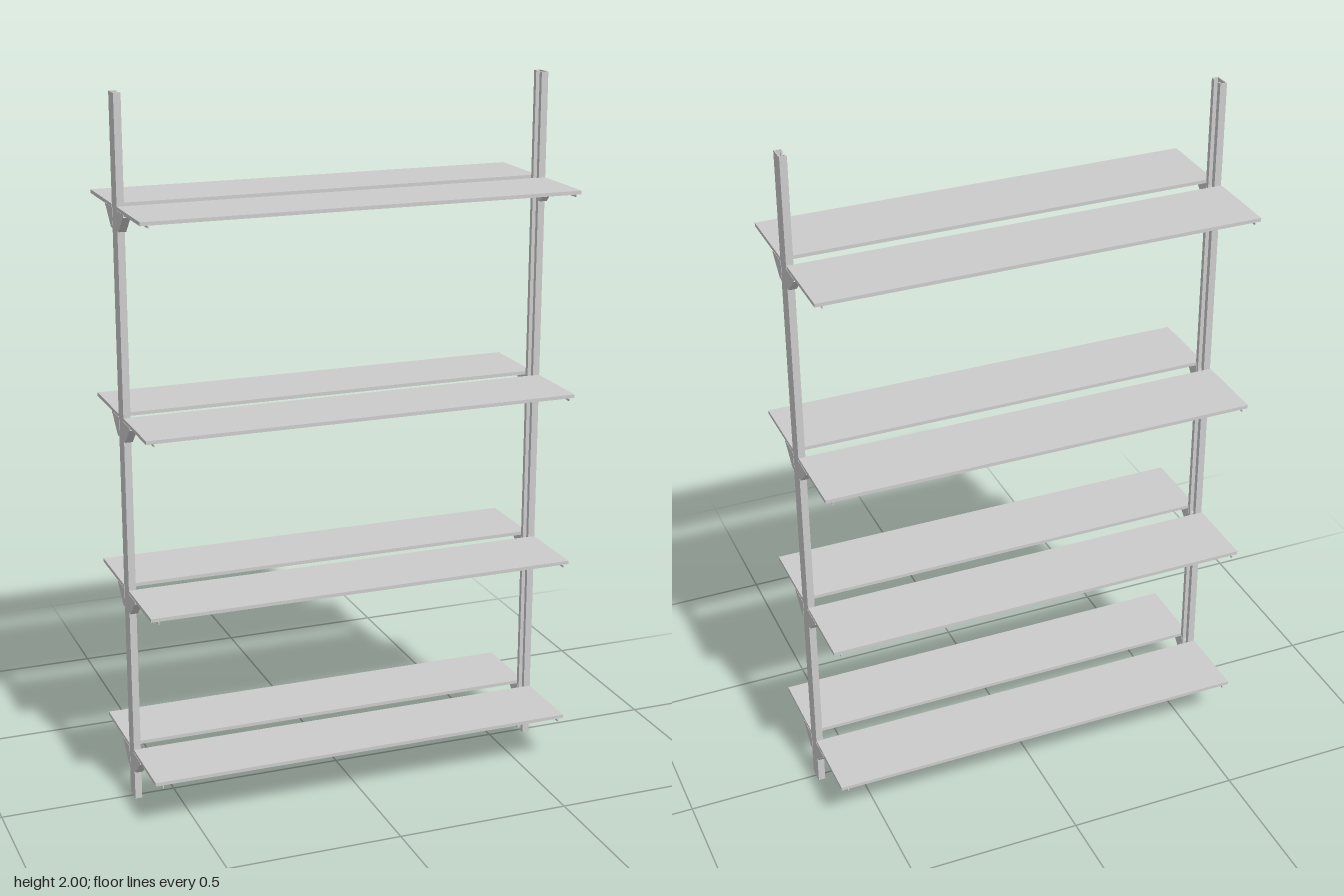
import * as THREE from 'three';

const material = new THREE.MeshStandardMaterial({ color: 0xcccccc, side: THREE.DoubleSide, flatShading: true });

function add(parent, name, geometry, x = 0, y = 0, z = 0) {
  const mesh = new THREE.Mesh(geometry, material);
  mesh.name = name;
  mesh.position.set(x, y, z);
  parent.add(mesh);
  return mesh;
}

const box = (w, h, d) => new THREE.BoxGeometry(w, h, d);

// Extrudes a closed outline given as [x, y] pairs
function extrude(points, depth) {
  const shape = new THREE.Shape(points.map(([x, y]) => new THREE.Vector2(x, y)));
  return new THREE.ExtrudeGeometry(shape, { depth, bevelEnabled: false });
}

// Upright: lipped channel, open towards the middle of the rack
function uprightGeometry() {
  const t = 0.003, half = 0.024, inner = 0.6, outer = 0.62, lip = 0.011, curl = 0.006;
  const upper = [
    [inner + curl, lip], [inner, lip], [inner, half], [outer, half],
  ];
  const cavity = [
    [outer - t, half - t], [inner + t, half - t], [inner + t, lip + t], [inner + curl, lip + t],
  ];
  const flip = (pts) => pts.map(([x, z]) => [x, -z]).reverse();
  return extrude([...upper, ...flip(upper), ...flip(cavity), ...cavity], 2).rotateX(-Math.PI / 2);
}

// Side plate: a triangular gusset running out into a slim arm; outline in (z, y)
function plateGeometry(thickness, reach) {
  const outline = [
    [0.02, -0.009], [reach, -0.009], [reach, -0.015], [0.085, -0.017],
    [0.036, -0.064], [0.024, -0.064], [0.02, -0.055],
  ];
  return extrude(outline, thickness).rotateY(-Math.PI / 2);
}

// Bracket reaching towards +z from the upright at +x
function bracket() {
  const group = new THREE.Group();
  group.name = 'bracket';
  add(group, 'bracketInnerPlate', plateGeometry(0.003, 0.254), 0.602);
  add(group, 'bracketOuterPlate', plateGeometry(0.002, 0.09), 0.621);
  // Sloping web joining both plates
  const brace = add(group, 'bracketBrace', box(0.021, 0.002, 0.068), 0.61, -0.0405, 0.0605);
  brace.rotation.x = -Math.atan2(0.047, 0.049);
  // Fixing pins through the channel
  for (const y of [-0.025, -0.045]) {
    add(group, 'bracketPin', box(0.02, 0.004, 0.014), 0.61, y, 0.017);
  }
  return group;
}

export function createModel() {
  const model = new THREE.Group();
  model.name = 'shelvingRack';

  // Shelf boards, one in front of and one behind the uprights
  const levels = [0.152, 0.634, 1.13, 1.705];
  for (const y of levels) {
    add(model, 'frontShelf', box(1.24, 0.01, 0.223), 0, y - 0.005, 0.1335);
    add(model, 'backShelf', box(1.24, 0.01, 0.223), 0, y - 0.005, -0.1385);
  }

  // Each side carries one upright and a pair of brackets per level
  for (const side of [1, -1]) {
    const frame = new THREE.Group();
    frame.name = side > 0 ? 'leftFrame' : 'rightFrame';
    frame.scale.x = side;
    add(frame, 'upright', uprightGeometry());
    for (const y of levels) {
      for (const facing of [1, -1]) {
        const arm = bracket();
        arm.position.y = y;
        arm.scale.z = facing;
        frame.add(arm);
      }
    }
    model.add(frame);
  }
  return model;
}
